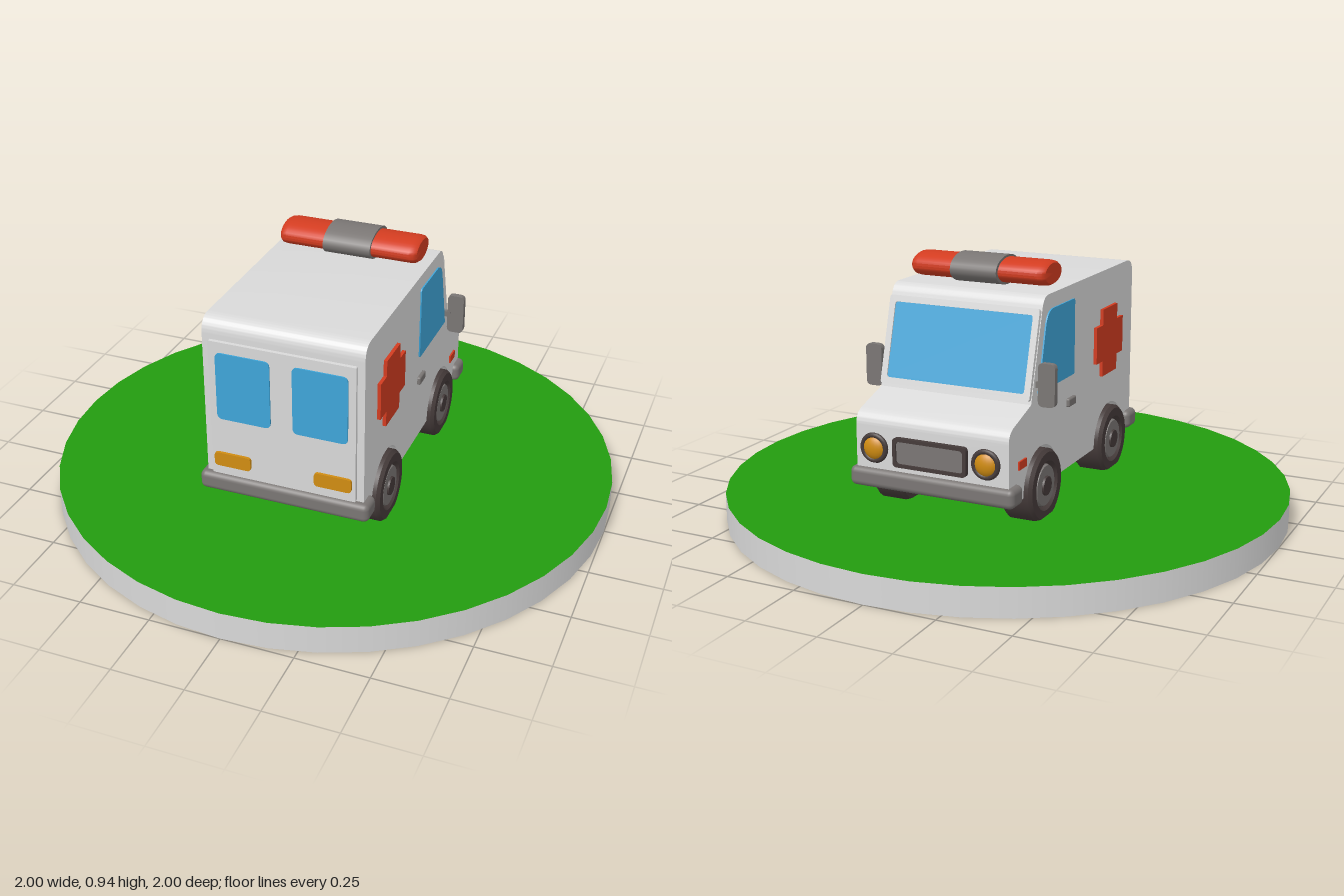
import * as THREE from 'three';
import { toCreasedNormals } from 'three/addons/utils/BufferGeometryUtils.js';
import { RoundedBoxGeometry } from 'three/addons/geometries/RoundedBoxGeometry.js';

const mat = (name, color) => Object.assign(new THREE.MeshStandardMaterial({ color }), { name });

export function createModel() {
  const white = mat('white paint', 0xd9d9d9);
  const green = mat('grass green', 0x239b0f);
  const red = mat('signal red', 0xd23c20);
  const blue = mat('window blue', 0x3fa5d8);
  const amber = mat('amber', 0xd08c12);
  const grey = mat('trim grey', 0x7a7674);
  const rubber = mat('dark rubber', 0x453b3a);

  const model = new THREE.Group();
  const van = new THREE.Group();
  van.name = 'ambulance';
  van.position.x = 0.0125;

  function add(name, geometry, material, x = 0, y = 0, z = 0, parent = van) {
    const mesh = new THREE.Mesh(geometry, material);
    mesh.name = name;
    mesh.position.set(x, y, z);
    parent.add(mesh);
    return mesh;
  }
  // Extrudes a side outline given in (z, y) across the width
  function profile(shape, width) {
    const g = new THREE.ExtrudeGeometry(shape, { depth: width, bevelEnabled: false, curveSegments: 16 });
    g.translate(0, 0, -width / 2).rotateY(-Math.PI / 2);
    return toCreasedNormals(g, 0.6);
  }
  function roundRect(w, h, r, target = new THREE.Shape()) {
    const a = w / 2, b = h / 2;
    target.moveTo(-a + r, -b).lineTo(a - r, -b).quadraticCurveTo(a, -b, a, -b + r);
    target.lineTo(a, b - r).quadraticCurveTo(a, b, a - r, b);
    target.lineTo(-a + r, b).quadraticCurveTo(-a, b, -a, b - r);
    target.lineTo(-a, -b + r).quadraticCurveTo(-a, -b, -a + r, -b);
    return target;
  }
  function plate(w, h, r, d, hole) {
    const s = roundRect(w, h, r);
    if (hole) s.holes.push(roundRect(w - 2 * hole, h - 2 * hole, r, new THREE.Path()));
    const g = new THREE.ExtrudeGeometry(s, { depth: d, bevelEnabled: false, curveSegments: 5 });
    return toCreasedNormals(g.translate(0, 0, -d / 2), 0.6);
  }

  // Round base
  add('base', new THREE.CylinderGeometry(1, 1, 0.1, 40), [white, green, green], 0, 0.05, 0, model);

  // Body shell with wheel arches
  const axles = [-0.3, 0.29], wheelY = 0.205;
  const body = new THREE.Shape();
  body.moveTo(-0.545, 0.2);
  for (const z of axles) {
    body.lineTo(z - 0.136, 0.2);
    body.absarc(z, wheelY, 0.136, Math.PI, 0, true);
    body.lineTo(z + 0.136, 0.2);
  }
  body.lineTo(0.5, 0.2).lineTo(0.5, 0.785).quadraticCurveTo(0.5, 0.84, 0.445, 0.84);
  body.lineTo(-0.25, 0.84).quadraticCurveTo(-0.285, 0.84, -0.297, 0.8);
  body.lineTo(-0.38, 0.5).lineTo(-0.51, 0.458).quadraticCurveTo(-0.545, 0.445, -0.545, 0.41);
  add('body', profile(body, 0.56), white);

  // Windscreen and frame, lying on the sloping nose
  const screen = new THREE.Group();
  screen.name = 'windscreen';
  screen.position.set(0, 0.655, -0.34);
  screen.rotation.x = 0.27;
  van.add(screen);
  add('windscreenFrame', plate(0.555, 0.3, 0.01, 0.022, 0.022), white, 0, 0, 0, screen);
  add('windscreenGlass', plate(0.515, 0.26, 0.01, 0.008), blue, 0, 0, -0.003, screen);

  // Rear door, windows and tail lamps
  add('rearDoor', plate(0.51, 0.5, 0.005, 0.014), white, 0, 0.518, 0.506);
  for (const s of [-1, 1]) {
    add('rearWindow', plate(0.19, 0.245, 0.02, 0.008), blue, s * 0.134, 0.608, 0.514);
    add('tailLamp', plate(0.13, 0.05, 0.014, 0.016), amber, s * 0.178, 0.33, 0.515);
  }

  // Bumpers
  add('frontBumper', new RoundedBoxGeometry(0.605, 0.067, 0.085, 3, 0.02), grey, 0, 0.232, -0.52);
  add('rearBumper', new RoundedBoxGeometry(0.605, 0.067, 0.085, 3, 0.02), grey, 0, 0.232, 0.483);

  // Grille and headlamps
  add('grilleFrame', plate(0.27, 0.1, 0.015, 0.024, 0.012), rubber, 0, 0.335, -0.55);
  add('grille', plate(0.26, 0.09, 0.012, 0.012), grey, 0, 0.335, -0.55);
  for (const s of [-1, 1]) {
    add('headlampRing', new THREE.TorusGeometry(0.043, 0.009, 8, 24), rubber, s * 0.205, 0.34, -0.558);
    const lamp = add('headlamp', new THREE.SphereGeometry(0.042, 20, 12), amber, s * 0.205, 0.34, -0.553);
    lamp.scale.z = 0.55;
  }

  // Side outlines for glass and cross
  const glass = new THREE.Shape();
  glass.moveTo(-0.332, 0.527).lineTo(-0.05, 0.527).quadraticCurveTo(-0.042, 0.527, -0.042, 0.535);
  glass.lineTo(-0.042, 0.78).quadraticCurveTo(-0.042, 0.79, -0.052, 0.79);
  glass.lineTo(-0.215, 0.79).quadraticCurveTo(-0.265, 0.79, -0.278, 0.74);
  const cross = new THREE.Shape();
  const a = 0.122, b = 0.066;
  cross.setFromPoints([[-a, -b], [-b, -b], [-b, -a], [b, -a], [b, -b], [a, -b], [a, b], [b, b],
    [b, a], [-b, a], [-b, b], [-a, b]].map(([x, y]) => new THREE.Vector2(x, y)));

  for (const s of [-1, 1]) {
    add('sideWindow', profile(glass, 0.008), blue, s * 0.281);
    add('sideCross', profile(cross, 0.014), red, s * 0.285, 0.583, 0.262);
    add('doorHandle', new RoundedBoxGeometry(0.016, 0.03, 0.062, 2, 0.006), grey, s * 0.284, 0.435, -0.066);
    add('sideMarker', new THREE.BoxGeometry(0.01, 0.028, 0.055), red, s * 0.281, 0.322, -0.452);
    // Door mirror
    add('mirror', plate(0.06, 0.145, 0.018, 0.022), grey, s * 0.322, 0.563, -0.345);
    add('mirrorArm', new THREE.BoxGeometry(0.04, 0.02, 0.014), grey, s * 0.285, 0.56, -0.34);
  }

  // Wheels: turned tyre, rim disc and hub cap
  const tyre = toCreasedNormals(new THREE.LatheGeometry([[0.078, -0.057], [0.115, -0.057],
    [0.125, -0.045], [0.125, 0.045], [0.115, 0.057], [0.085, 0.057], [0.074, 0.042], [0, 0.042]]
    .map(([r, y]) => new THREE.Vector2(r, y)), 32), 0.5);
  for (const z of axles) {
    const axle = add('axle', new THREE.CylinderGeometry(0.035, 0.035, 0.4, 16), grey, 0, wheelY, z);
    axle.rotation.z = Math.PI / 2;
    for (const s of [-1, 1]) {
      const wheel = new THREE.Group();
      wheel.name = 'wheel';
      wheel.position.set(s * 0.245, wheelY, z);
      wheel.rotation.z = -s * Math.PI / 2;
      van.add(wheel);
      add('tyre', tyre, rubber, 0, 0, 0, wheel);
      add('innerDisc', new THREE.CylinderGeometry(0.08, 0.08, 0.01, 24), rubber, 0, -0.052, 0, wheel);
      add('rim', new THREE.CylinderGeometry(0.068, 0.074, 0.014, 28), grey, 0, 0.046, 0, wheel);
      add('hubCap', new THREE.CylinderGeometry(0.032, 0.034, 0.01, 20), rubber, 0, 0.055, 0, wheel);
    }
  }

  // Roof beacon: flattened red bar with a grey clamp
  const bar = new THREE.LatheGeometry([[0, -0.25], [0.065, -0.25], [0.076, -0.241], [0.08, -0.225],
    [0.08, 0.225], [0.076, 0.241], [0.065, 0.25], [0, 0.25]]
    .map(([r, y]) => new THREE.Vector2(r, y)), 32).rotateZ(Math.PI / 2).scale(1, 0.53, 1);
  add('beacon', toCreasedNormals(bar, 0.7), red, 0, 0.89, -0.145);
  const clamp = new THREE.CylinderGeometry(0.092, 0.092, 0.172, 32).rotateZ(Math.PI / 2).scale(1, 0.54, 1);
  add('beaconClamp', clamp, grey, 0.003, 0.89, -0.147);

  model.add(van);
  return model;
}
